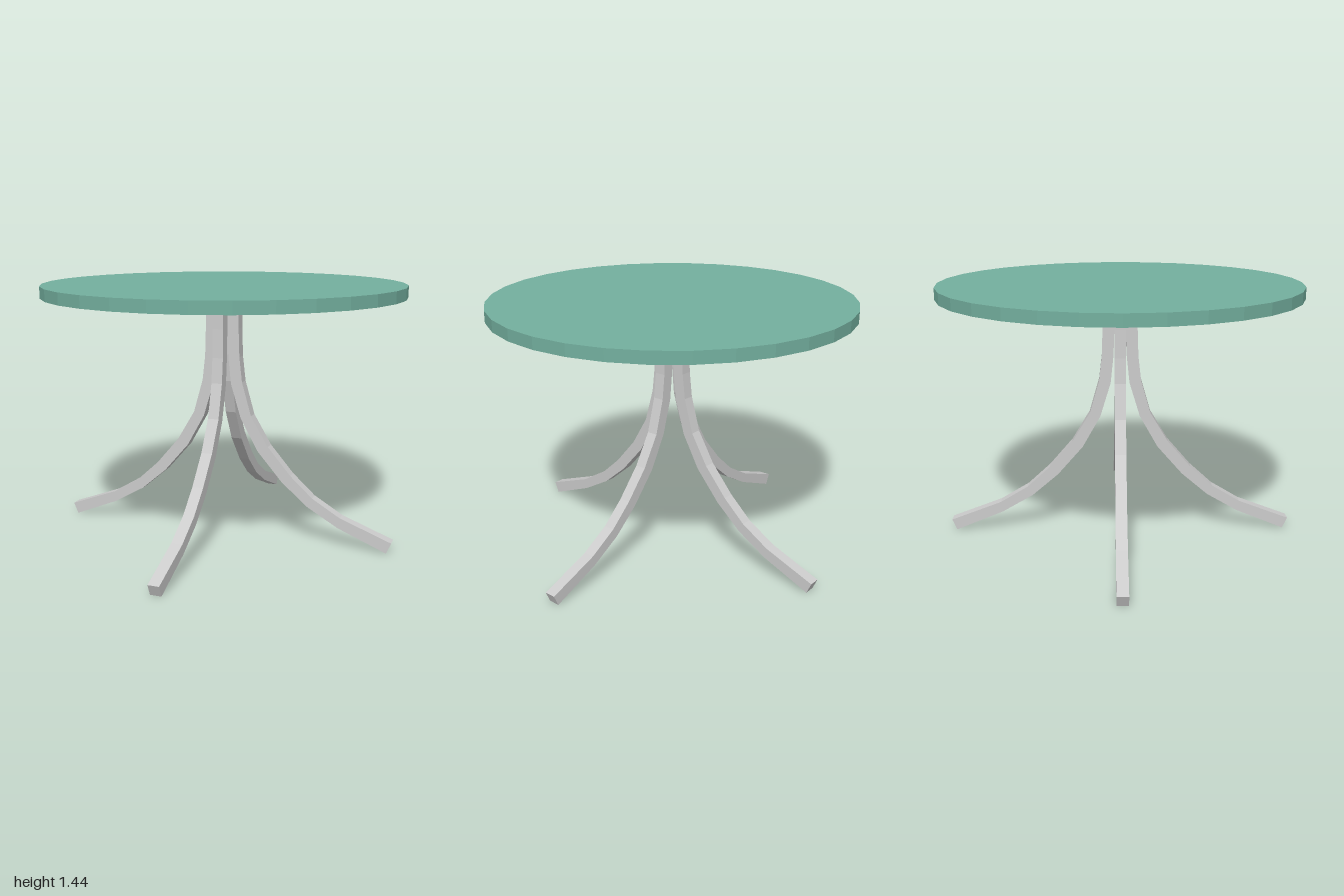
import * as THREE from 'three';

const TOP_Y = 1.444, UNDER_Y = 1.38, LEG_W = 0.062;

// Side profile of one leg, [distance from axis, height], top to foot
const OUTER = [[0.096, UNDER_Y], [0.097, 1.2], [0.102, 1.04], [0.118, 0.9], [0.172, 0.71],
  [0.273, 0.54], [0.406, 0.385], [0.535, 0.267], [0.695, 0.171], [0.984, 0.062]];
const INNER = [[0.03, UNDER_Y], [0.031, 1.2], [0.037, 1.04], [0.053, 0.885], [0.112, 0.69],
  [0.214, 0.508], [0.358, 0.342], [0.508, 0.214], [0.684, 0.112], [0.957, 0]];

export function createModel() {
  const model = new THREE.Group();
  model.name = 'roundTable';

  // Faceted round top
  const topMaterial = new THREE.MeshStandardMaterial({ color: 0x74b09f, flatShading: true });
  const top = new THREE.Mesh(
    new THREE.CylinderGeometry(1, 1, TOP_Y - UNDER_Y, 32), topMaterial);
  top.name = 'tableTop';
  top.position.y = (TOP_Y + UNDER_Y) / 2;
  model.add(top);

  // Four curved square-section legs sweeping outwards
  const legMaterial = new THREE.MeshStandardMaterial({ color: 0xcccccc, flatShading: true });
  const outline = [...INNER, ...[...OUTER].reverse()].map(([x, y]) => new THREE.Vector2(x, y));
  const legGeometry = new THREE.ExtrudeGeometry(new THREE.Shape(outline),
    { depth: LEG_W, bevelEnabled: false });
  legGeometry.translate(0, 0, -LEG_W / 2);
  ['leftLeg', 'backLeg', 'rightLeg', 'frontLeg'].forEach((name, i) => {
    const leg = new THREE.Mesh(legGeometry, legMaterial);
    leg.name = name;
    leg.rotation.y = i * Math.PI / 2;
    model.add(leg);
  });

  return model;
}
